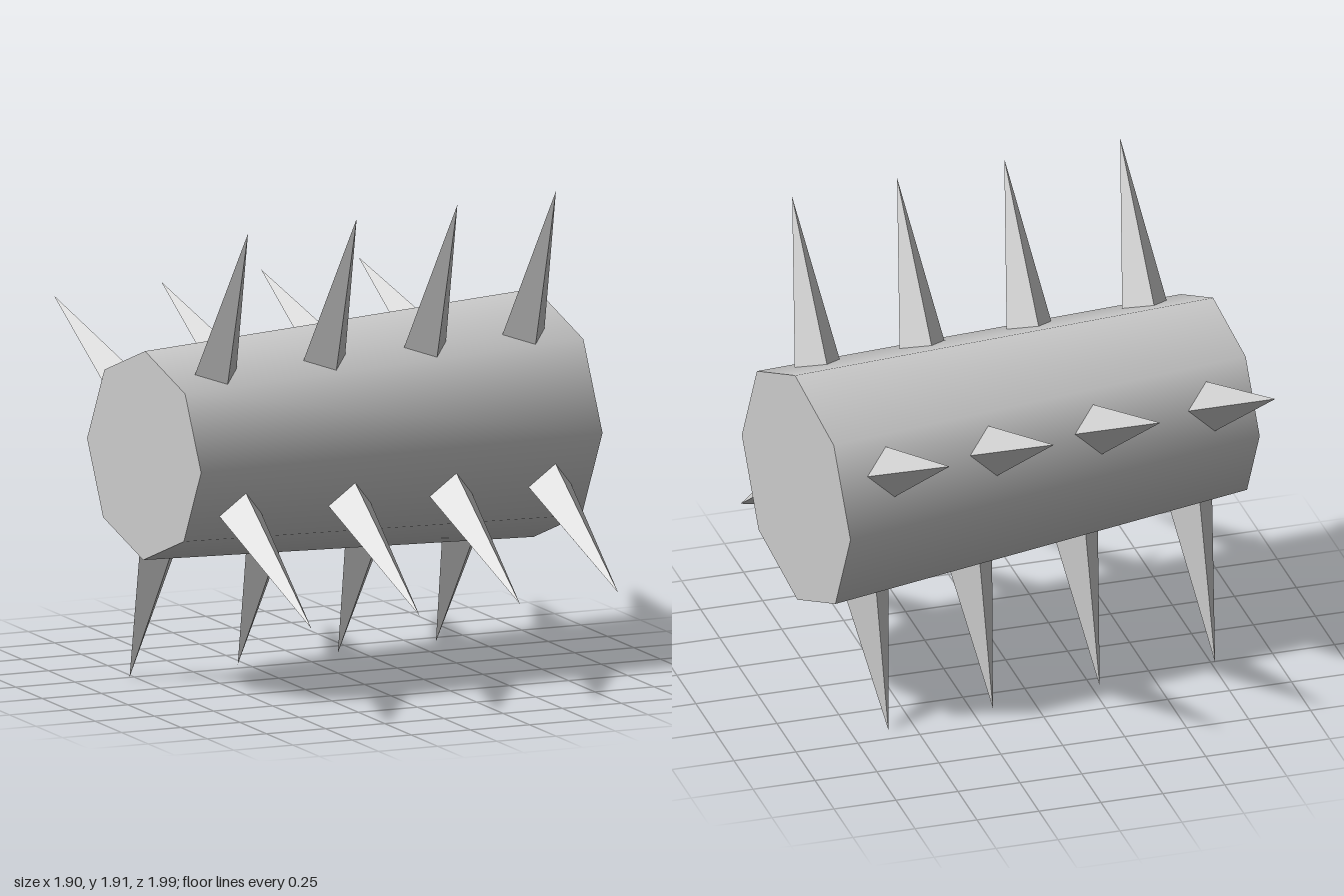
import * as THREE from 'three';

const V = (x, y, z) => new THREE.Vector3(x, y, z);

// Centre line of the tapered log
const narrowEnd = V(-0.888, 0.956, 0.153);
const wideEnd = V(0.878, 0.938, -0.106);
const axis = wideEnd.clone().sub(narrowEnd).normalize();

// Turn a mesh so its y runs along dir and its z leans towards ref
function orient(mesh, dir, ref) {
  const y = dir.clone().normalize();
  const x = y.clone().cross(ref).normalize();
  const z = x.clone().cross(y);
  mesh.quaternion.setFromRotationMatrix(new THREE.Matrix4().makeBasis(x, y, z));
}

// Each row: base and tip of its first and last spike
const rows = [
  { name: 'upperFrontSpike',
    base: [V(-0.655, 1.29, 0.306), V(0.71, 1.32, 0.165)],
    tip: [V(-0.64, 1.885, 0.58), V(0.731, 1.915, 0.424)] },
  { name: 'upperBackSpike',
    base: [V(-0.759, 1.11, -0.24), V(0.606, 1.155, -0.485)],
    tip: [V(-0.839, 1.41, -0.81), V(0.532, 1.417, -0.995)] },
  { name: 'lowerFrontSpike',
    base: [V(-0.616, 0.758, 0.45), V(0.756, 0.735, 0.312)],
    tip: [V(-0.558, 0.4, 0.995), V(0.817, 0.4, 0.82)] },
  { name: 'lowerBackSpike',
    base: [V(-0.738, 0.61, -0.015), V(0.63, 0.525, -0.22)],
    tip: [V(-0.766, 0.003, -0.257), V(0.605, 0.003, -0.428)] },
];
const steps = [0, 0.353, 0.68, 1];
const spikeRadius = 0.095;
const sunk = 0.06; // depth the spike reaches into the log

export function createModel() {
  const group = new THREE.Group();
  const smooth = new THREE.MeshStandardMaterial({ color: 0xcccccc });
  const flat = new THREE.MeshStandardMaterial({ color: 0xcccccc, flatShading: true });

  // Eight-sided log, wider at one end
  const log = new THREE.Mesh(
    new THREE.CylinderGeometry(0.488, 0.41, narrowEnd.distanceTo(wideEnd), 8), smooth);
  log.name = 'log';
  log.position.copy(narrowEnd).lerp(wideEnd, 0.5);
  orient(log, axis, V(0, 1, 0));
  group.add(log);

  // Four rows of four-sided spikes
  for (const row of rows) {
    steps.forEach((t, i) => {
      const base = row.base[0].clone().lerp(row.base[1], t);
      const tip = row.tip[0].clone().lerp(row.tip[1], t);
      const dir = tip.clone().sub(base);
      const length = dir.length();
      const full = length + sunk;
      const spike = new THREE.Mesh(
        new THREE.ConeGeometry(spikeRadius * full / length, full, 4), flat);
      spike.name = row.name + (i + 1);
      spike.position.copy(tip).addScaledVector(dir.normalize(), -full / 2);
      orient(spike, dir, axis);
      group.add(spike);
    });
  }
  return group;
}
